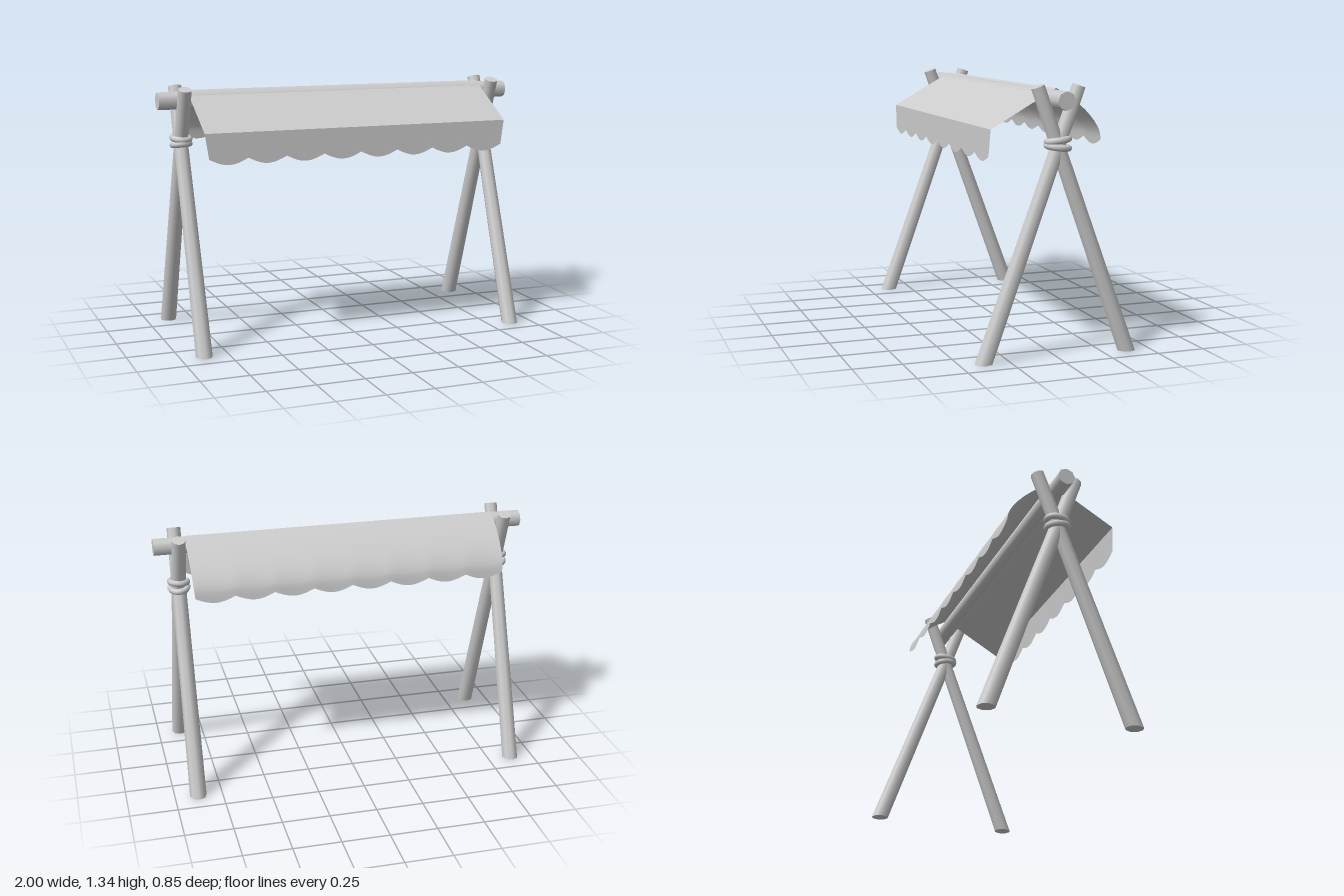
import * as THREE from 'three';

const material = new THREE.MeshStandardMaterial({ color: 0xcccccc });
const clothMaterial = new THREE.MeshStandardMaterial({ color: 0xcccccc, side: THREE.DoubleSide });

const POST_X = 0.878;
const SCALLOPS = 8;

function addMesh(parent, name, geometry, mat = material) {
  const mesh = new THREE.Mesh(geometry, mat);
  mesh.name = name;
  parent.add(mesh);
  return mesh;
}

// Tapered pole leaning across the frame, its foot cut level with the ground
function poleGeometry(side) {
  const foot = new THREE.Vector3(0, 0, 0.38 * side);
  const tip = new THREE.Vector3(0, 1.332, -0.106 * side);
  const dir = tip.clone().sub(foot);
  const geo = new THREE.CylinderGeometry(0.036, 0.044, dir.length(), 8);
  geo.applyQuaternion(new THREE.Quaternion().setFromUnitVectors(
    new THREE.Vector3(0, 1, 0), dir.clone().normalize()));
  geo.translate(0, (foot.y + tip.y) / 2, (foot.z + tip.z) / 2);
  const p = geo.attributes.position;
  for (let i = 0; i < p.count; i++) {
    const y = p.getY(i);
    if (y < 0.1) {
      // slide along the pole until the vertex lies on the ground
      p.setZ(i, p.getZ(i) - (y / dir.y) * dir.z);
      p.setY(i, 0);
    }
  }
  return geo;
}

// Sheet of cloth: point(u, t) gives [x, y, z], u across and t from top to hem
function clothGeometry(rows, point) {
  const geo = new THREE.PlaneGeometry(1, 1, SCALLOPS * 8, rows);
  const p = geo.attributes.position;
  for (let i = 0; i < p.count; i++) {
    p.setXYZ(i, ...point(p.getX(i) + 0.5, 0.5 - p.getY(i)));
  }
  geo.computeVertexNormals();
  return geo;
}

const scallop = (u) => Math.abs(Math.sin(u * Math.PI * SCALLOPS));

export function createModel() {
  const model = new THREE.Group();
  model.name = 'canopyStand';

  // Crossed poles with a rope lashing at each end
  for (const sx of [-1, 1]) {
    const frame = new THREE.Group();
    frame.name = sx > 0 ? 'leftFrame' : 'rightFrame';
    frame.position.x = POST_X * sx;
    model.add(frame);
    addMesh(frame, 'frontPole', poleGeometry(1));
    addMesh(frame, 'backPole', poleGeometry(-1));

    for (const k of [-1, 1]) {
      const ring = new THREE.TorusGeometry(0.052, 0.0165, 8, 20);
      ring.rotateX(Math.PI / 2);
      ring.scale(0.88, 1, 1.04);
      ring.rotateX(0.12 * k);
      ring.rotateZ(0.06 * k * sx);
      addMesh(frame, k > 0 ? 'upperRope' : 'lowerRope', ring).position.y = 1.056 + 0.016 * k;
    }
  }

  // Ridge pole resting in the forks
  const ridge = new THREE.CylinderGeometry(0.046, 0.046, 2, 8);
  ridge.rotateZ(Math.PI / 2);
  addMesh(model, 'ridgePole', ridge).position.set(0, 1.268, 0.005);

  // Cloth: straight front slope, hanging scalloped valance, curved back
  const canopy = new THREE.Group();
  canopy.name = 'canopy';
  model.add(canopy);

  addMesh(canopy, 'frontSlope', clothGeometry(2, (u, t) =>
    [(u - 0.5) * 1.68, 1.32 - 0.19 * t, -0.005 + 0.335 * t]), clothMaterial);

  addMesh(canopy, 'frontValance', clothGeometry(4, (u, t) =>
    [(u - 0.5) * (1.68 - 0.04 * t), 1.13 - t * (0.13 + 0.032 * scallop(u)), 0.33 + 0.004 * t]), clothMaterial);

  const backCurve = new THREE.CatmullRomCurve3([
    [1.32, -0.005], [1.262, -0.1], [1.18, -0.19], [1.11, -0.237], [1.062, -0.247],
  ].map(([y, z]) => new THREE.Vector3(0, y, z)));
  addMesh(canopy, 'backSlope', clothGeometry(12, (u, t) => {
    const c = backCurve.getPoint(t);
    return [(0.5 - u) * (1.68 - 0.03 * t), c.y - 0.03 * scallop(u) * t ** 4, c.z - 0.003 * t];
  }), clothMaterial);

  return model;
}
